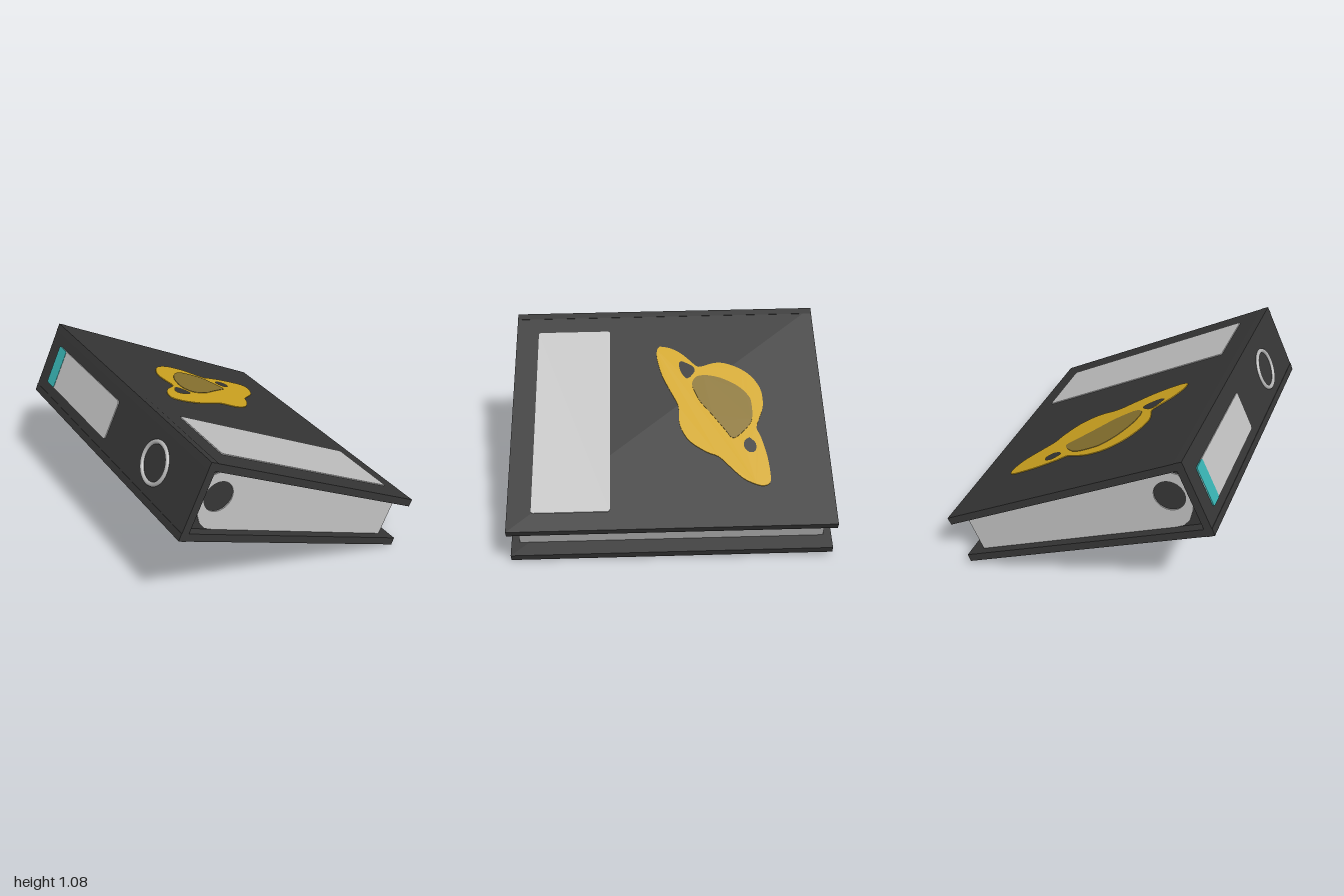
import * as THREE from 'three';

const mat = (name, color) => new THREE.MeshStandardMaterial({ name, color });

export function createModel() {
  const black = mat('black board', 0x363636);
  const paper = mat('paper grey', 0xc2c2c2);
  const metal = mat('ring metal', 0xb4b4b4);
  const gold = mat('gold', 0xd0a520);
  const olive = mat('olive', 0x897330);
  const teal = mat('teal', 0x38b4b4);

  const v = (x, y) => new THREE.Vector2(x, y);
  const root = new THREE.Group();
  root.name = 'ringBinder';

  const add = (parent, name, geometry, material) => {
    const mesh = new THREE.Mesh(geometry, material);
    mesh.name = name;
    parent.add(mesh);
    return mesh;
  };
  // Prism with an xy outline, centred on z = 0
  const prism = (shape, depth) =>
    new THREE.ExtrudeGeometry(shape, { depth, bevelEnabled: false, curveSegments: 32 })
      .translate(0, 0, -depth / 2);

  // Outer corners of the wedge-shaped cross-section
  const spineLow = v(-0.8425, 0.633), spineHigh = v(-0.635, 1.075);
  const frontEdge = v(0.833, 0.315), backEdge = v(0.70, 0.017);
  const T = 0.048, LENGTH = 1.975;

  // Board along p-q, thickened to the right of that direction
  const board = (name, p, q) => {
    const d = q.clone().sub(p).normalize();
    const n = v(d.y, -d.x).multiplyScalar(T);
    add(root, name, prism(new THREE.Shape([p, q, q.clone().add(n), p.clone().add(n)]), LENGTH), black);
  };
  board('topCover', spineHigh, frontEdge);
  board('spine', spineLow, spineHigh);
  board('bottomCover', backEdge, spineLow);

  // Paper stack with rounded inner end and a round opening
  const block = new THREE.Shape([
    [0.63, 0.097], [0.728, 0.315], [-0.53, 0.955], [-0.60, 0.95], [-0.66, 0.895], [-0.69, 0.82],
    [-0.698, 0.735], [-0.682, 0.66], [-0.65, 0.615], [-0.60, 0.59],
  ].map(p => v(...p)));
  block.holes.push(new THREE.Path().absarc(-0.558, 0.797, 0.094, 0, Math.PI * 2, true));
  add(root, 'paperStack', prism(block, 1.87), paper);

  // Dark lining next to the spine, seen around and through the paper
  const lining = new THREE.Shape([
    v(-0.79, 0.65), v(-0.42, 0.51), v(-0.42, 0.90), v(-0.62, 1.01),
  ]);
  add(root, 'innerLining', prism(lining, 1.855), black);

  // Frames lying on an outer face: x along the face, y outward
  const faceFrame = (name, p, q) => {
    const g = new THREE.Group();
    g.name = name;
    g.position.set(p.x, p.y, 0);
    g.rotation.z = Math.atan2(q.y - p.y, q.x - p.x);
    root.add(g);
    return g;
  };
  const coverFace = faceFrame('coverDetails', spineHigh, frontEdge);
  const spineFace = faceFrame('spineDetails', spineLow, spineHigh);

  const plate = (parent, name, shape, thick, material) =>
    add(parent, name, new THREE.ExtrudeGeometry(shape, { depth: thick, bevelEnabled: false, curveSegments: 6 })
      .rotateX(-Math.PI / 2), material);
  const roundedRect = (x0, x1, z0, z1, r) => {
    const s = new THREE.Shape();
    s.absarc(x1 - r, -z0 - r, r, 0, Math.PI / 2);
    s.absarc(x0 + r, -z0 - r, r, Math.PI / 2, Math.PI);
    s.absarc(x0 + r, -z1 + r, r, Math.PI, Math.PI * 1.5);
    s.absarc(x1 - r, -z1 + r, r, Math.PI * 1.5, Math.PI * 2);
    return s;
  };

  // Cover label
  const along = x => (x + 0.635) / 0.888;
  plate(coverFace, 'coverLabel', roundedRect(along(-0.485), along(0.725), 0.37, 0.842, 0.015), 0.006, paper);

  // Ringed planet emblem, outlines given in plan as x, z
  const outline = pts => {
    const p = pts.map(([x, z]) => v(along(x), -z));
    return new THREE.SplineCurve([...p, p[0]]).getPoints(pts.length * 3).slice(0, -1);
  };
  const planet = new THREE.Shape(outline([
    [-0.365, 0.04], [-0.35, -0.03], [-0.3, -0.11], [-0.22, -0.19], [-0.215, -0.23], [-0.235, -0.3],
    [-0.235, -0.37], [-0.2, -0.46], [-0.14, -0.54], [-0.05, -0.595], [0.04, -0.605], [0.1, -0.595],
    [0.16, -0.57], [0.22, -0.55], [0.28, -0.572], [0.4, -0.6], [0.51, -0.61], [0.57, -0.605],
    [0.59, -0.57], [0.582, -0.52], [0.54, -0.44], [0.46, -0.36], [0.4, -0.3], [0.37, -0.23],
    [0.3, -0.13], [0.22, -0.08], [0.15, -0.065], [0.06, -0.065], [-0.04, -0.02], [-0.15, 0.03],
    [-0.27, 0.06], [-0.34, 0.06],
  ]));
  planet.holes.push(
    new THREE.Path(outline([[0.28, -0.5], [0.32, -0.537], [0.37, -0.53], [0.375, -0.49], [0.34, -0.463], [0.3, -0.47]])),
    new THREE.Path(outline([[-0.255, -0.1], [-0.22, -0.165], [-0.18, -0.18], [-0.13, -0.13], [-0.18, -0.09], [-0.24, -0.08]])),
  );
  plate(coverFace, 'planetEmblem', planet, 0.005, gold);
  const disc = new THREE.Shape(outline([
    [-0.15, -0.25], [-0.13, -0.34], [-0.07, -0.45], [0, -0.515], [0.05, -0.53], [0.14, -0.53],
    [0.2, -0.505], [0.27, -0.43], [0.28, -0.39], [0.24, -0.36], [0.13, -0.28], [0.04, -0.21],
    [-0.02, -0.18], [-0.08, -0.16], [-0.12, -0.17], [-0.145, -0.2],
  ]));
  plate(coverFace, 'planetShade', disc, 0.008, olive);

  // Spine label with coloured band
  const mid = spineLow.distanceTo(spineHigh) / 2;
  plate(spineFace, 'spineLabel', roundedRect(mid - 0.13, mid + 0.13, -0.87, -0.01, 0.02), 0.006, paper);
  plate(spineFace, 'spineLabelBand', roundedRect(mid - 0.13, mid + 0.13, -0.87, -0.77, 0.015), 0.008, teal);

  // Finger ring on the spine
  const ring = add(spineFace, 'fingerRing',
    new THREE.TorusGeometry(0.123, 0.014, 12, 48).rotateX(Math.PI / 2), metal);
  ring.position.set(mid, 0.002, 0.535);

  // Slight tilt of the whole binder
  root.rotation.set(0.0125, -0.0075, 0);
  root.position.set(0, -0.004, -0.007);
  const model = new THREE.Group();
  model.name = 'binder';
  model.add(root);
  return model;
}
